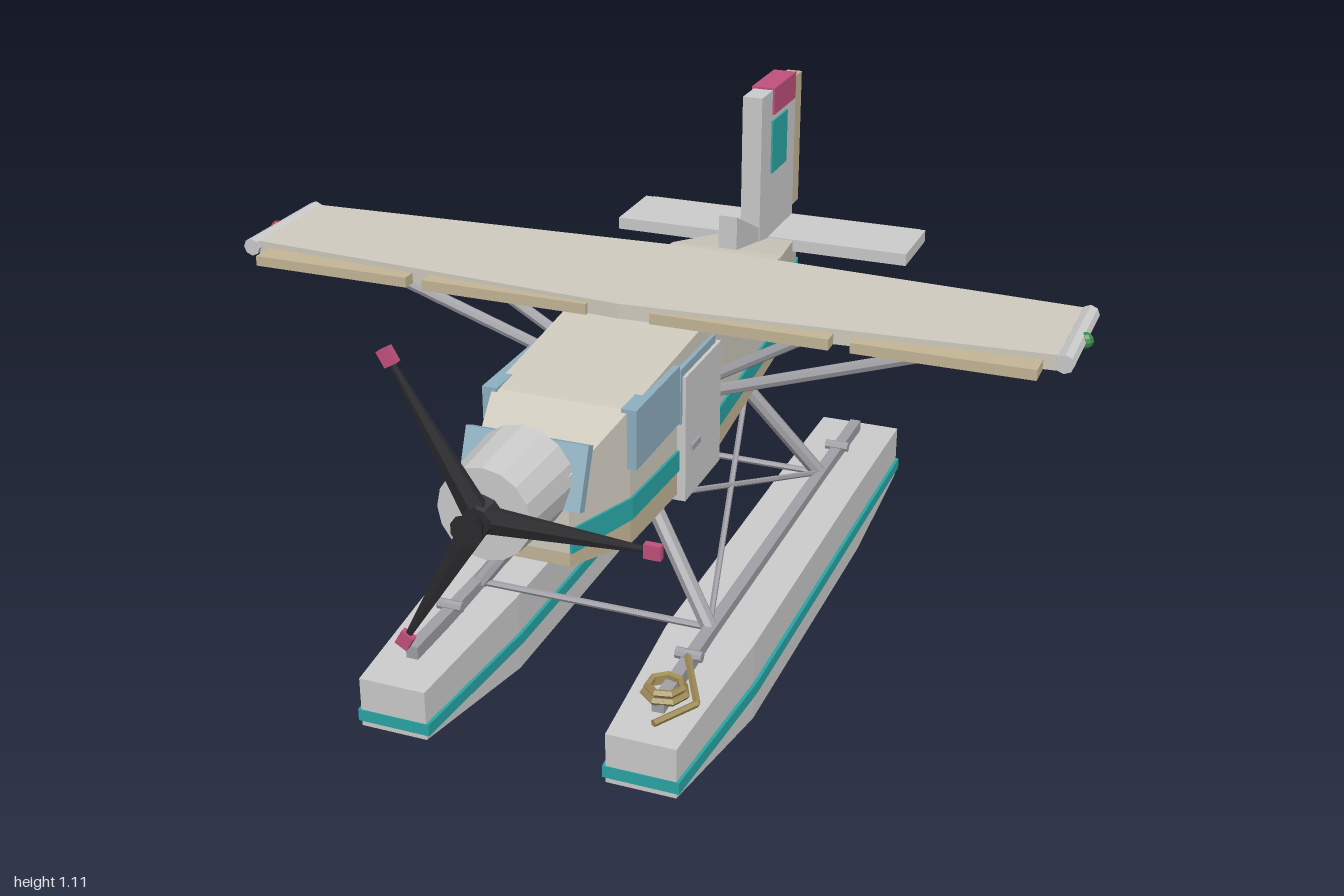
import * as THREE from 'three';

const mat = (color) => new THREE.MeshStandardMaterial({ color, flatShading: true });
const GREY = mat(0xcccccc), CREAM = mat(0xd0cbbf), TAN = mat(0xc4b596), TEAL = mat(0x2aa5a5),
  PINK = mat(0xc0507c), GLASS = mat(0x8fb0c0), DARK = mat(0x2a2a2e), METAL = mat(0xa0a0a6),
  ROPE = mat(0xa08c58), RED = mat(0xb83a3a), GREEN = mat(0x3a8a4a);

const V = (x, y, z) => new THREE.Vector3(x, y, z);

// Skin between rings of corners, closed at both ends
function loft(rings) {
  const n = rings[0].length, pos = [];
  const quad = (a, b, c, d) => [a, b, c, a, c, d].forEach((p) => pos.push(...p));
  for (let i = 0; i < rings.length - 1; i++) {
    for (let j = 0; j < n; j++) {
      const k = (j + 1) % n;
      quad(rings[i][j], rings[i + 1][j], rings[i + 1][k], rings[i][k]);
    }
  }
  quad(...rings[0]);
  quad(...rings[rings.length - 1].slice().reverse());
  const g = new THREE.BufferGeometry();
  g.setAttribute('position', new THREE.Float32BufferAttribute(pos, 3));
  g.computeVertexNormals();
  return g;
}

// Rectangular stations [z, half width, bottom, top], from front to back
const hull = (stations) => loft(stations.map(([z, w, y0, y1]) =>
  [[-w, y0, z], [w, y0, z], [w, y1, z], [-w, y1, z]]));

function add(parent, name, geometry, material, x = 0, y = 0, z = 0) {
  const m = new THREE.Mesh(geometry, material);
  m.name = name;
  m.position.set(x, y, z);
  parent.add(m);
  return m;
}

// Box given by its limits
const block = (parent, name, material, x0, x1, y0, y1, z0, z1) =>
  add(parent, name, new THREE.BoxGeometry(Math.abs(x1 - x0), y1 - y0, Math.abs(z1 - z0)), material,
    (x0 + x1) / 2, (y0 + y1) / 2, (z0 + z1) / 2);

// Straight rod between two points
function rod(parent, name, a, b, r, material = METAL, sides = 8) {
  const d = b.clone().sub(a);
  const m = add(parent, name, new THREE.CylinderGeometry(r, r, d.length(), sides), material);
  m.position.copy(a).add(b).multiplyScalar(0.5);
  m.quaternion.setFromUnitVectors(V(0, 1, 0), d.normalize());
  return m;
}

function buildFuselage(g) {
  // z, half width, bottom, stripe bottom, stripe top, top
  const S = [
    [0.76, 0.105, 0.51, 0.54, 0.595, 0.71], [0.56, 0.155, 0.47, 0.53, 0.58, 0.78],
    [0.08, 0.165, 0.46, 0.52, 0.567, 0.815], [-0.47, 0.145, 0.505, 0.545, 0.59, 0.76],
    [-0.82, 0.075, 0.585, 0.59, 0.63, 0.69]];
  add(g, 'lowerFuselage', hull(S.map(([z, w, a, b]) => [z, w, a, b])), TAN);
  add(g, 'upperFuselage', hull(S.map(([z, w, , b, , d]) => [z, w, b, d])), CREAM);
  add(g, 'fuselageStripe', hull(S.map(([z, w, , b, c]) => [z * 0.999, w + 0.006, b, c])), TEAL);

  const shield = block(g, 'windshield', GLASS, -0.135, 0.135, 0.635, 0.77, 0.725, 0.75);
  shield.rotation.x = -0.38;
  for (const s of [1, -1]) {
    block(g, 'sideWindow', GLASS, s * 0.14, s * 0.174, 0.65, 0.785, 0.32, 0.57);
    block(g, 'doorWindow', GLASS, s * 0.15, s * 0.172, 0.64, 0.77, 0.09, 0.31);
    block(g, 'door', GREY, s * 0.15, s * 0.18, 0.45, 0.75, 0.075, 0.3);
    block(g, 'doorHandle', METAL, s * 0.17, s * 0.187, 0.563, 0.577, 0.22, 0.27);
  }
}

function buildEngine(g) {
  const engine = new THREE.Group();
  engine.name = 'engine';
  engine.position.set(0, 0.69, 0);
  g.add(engine);
  const round = (name, rFront, rBack, z0, z1, material, sides) =>
    add(engine, name, new THREE.CylinderGeometry(rFront, rBack, z1 - z0, sides), material, 0, 0, (z0 + z1) / 2)
      .rotation.x = Math.PI / 2;
  round('cowling', 0.1, 0.11, 0.74, 0.925, GREY, 16);
  round('propellerHub', 0.03, 0.045, 0.92, 0.96, DARK, 10);
  round('spinner', 0.035, 0.015, 0.955, 1, DARK, 10);
  // Three tapered blades with coloured tips
  for (let i = 0; i < 3; i++) {
    const blade = new THREE.Group();
    blade.name = 'propellerBlade';
    blade.rotation.z = -Math.PI / 2 + (i * 2 * Math.PI) / 3;
    blade.position.z = 0.942;
    engine.add(blade);
    add(blade, 'blade', new THREE.CylinderGeometry(0.007, 0.032, 0.34, 6), DARK, 0, 0.18, 0).scale.z = 0.5;
    block(blade, 'bladeTip', PINK, -0.015, 0.015, 0.34, 0.375, -0.008, 0.008);
  }
}

function buildWing(g) {
  const ring = (x, back, front) =>
    [[x, 0.84, back], [x, 0.875, back], [x, 0.875, front], [x, 0.84, front]];
  add(g, 'wing', loft([ring(0.95, -0.105, 0.18), ring(0, -0.155, 0.245), ring(-0.95, -0.105, 0.18)]), CREAM);
  for (const s of [1, -1]) {
    block(g, 'innerFlap', TAN, s * 0.075, s * 0.48, 0.84, 0.865, 0.17, 0.25);
    block(g, 'outerFlap', TAN, s * 0.525, s * 0.92, 0.838, 0.862, 0.16, 0.243);
    rod(g, 'wingTip', V(s * 0.965, 0.86, -0.11), V(s * 0.965, 0.86, 0.19), 0.021, GREY);
    add(g, 'navigationLight', new THREE.SphereGeometry(0.018, 8, 6), s > 0 ? GREEN : RED, s * 0.982, 0.86, 0.045);
    rod(g, 'outerWingStrut', V(s * 0.84, 0.84, 0.05), V(s * 0.15, 0.61, 0.05), 0.015);
    rod(g, 'innerWingStrut', V(s * 0.48, 0.84, 0.05), V(s * 0.15, 0.645, 0.05), 0.014);
  }
}

function buildTail(g) {
  block(g, 'tailplane', GREY, -0.4, 0.4, 0.68, 0.712, -0.925, -0.725);
  block(g, 'elevator', TAN, -0.385, 0.385, 0.684, 0.706, -0.945, -0.92);
  block(g, 'fin', GREY, -0.026, 0.026, 0.71, 1.105, -0.93, -0.65);
  block(g, 'rudder', TAN, -0.02, 0.02, 0.73, 1.09, -1, -0.925);
  block(g, 'finCap', PINK, -0.031, 0.031, 1.04, 1.11, -0.915, -0.735);
  block(g, 'finPanel', TEAL, -0.031, 0.031, 0.885, 1.025, -0.85, -0.73);
  add(g, 'dorsalFin', hull([[-0.475, 0.024, 0.73, 0.845], [-0.66, 0.024, 0.69, 0.755]]), GREY);
}

function buildFloats(g) {
  for (const s of [1, -1]) {
    const f = new THREE.Group();
    f.name = s > 0 ? 'leftFloat' : 'rightFloat';
    f.position.x = s * 0.285;
    g.add(f);
    add(f, 'floatHull', hull([[0.83, 0.078, 0.06, 0.178], [0.42, 0.104, 0.005, 0.197],
      [-0.42, 0.104, 0.005, 0.197], [-0.78, 0.104, 0.05, 0.19]]), GREY);
    add(f, 'floatStripe', hull([[0.832, 0.085, 0.072, 0.1], [0.42, 0.112, 0.072, 0.1],
      [-0.782, 0.112, 0.072, 0.1]]), TEAL);
    block(f, 'floatStep', DARK, -0.1, 0.1, 0, 0.02, 0.03, 0.07);
    block(f, 'deckRail', METAL, -0.014, 0.014, 0.19, 0.22, -0.73, 0.735);
    block(f, 'waterRudder', DARK, -0.014, 0.014, 0, 0.1, -0.845, -0.775);
    for (const z of [0.55, -0.555]) {
      rod(f, 'cleat', V(-0.03, 0.222, z), V(0.03, 0.222, z), 0.013);
    }
    // Legs with crossed bracing
    for (const e of [1, -1]) {
      const foot = V(s * 0.28, 0.21, e * 0.41);
      rod(g, 'floatLeg', foot, V(s * 0.1, 0.465, e * 0.32), 0.019);
      rod(g, 'crossBrace', foot, V(s * 0.11, 0.46, e * -0.32), 0.007, METAL, 6);
    }
  }
  for (const z of [0.41, -0.41]) rod(g, 'spreaderBar', V(-0.28, 0.21, z), V(0.28, 0.21, z), 0.008, METAL, 6);

  // Mooring rope coiled on the left float
  for (const [r, y] of [[0.045, 0.215], [0.038, 0.23]]) {
    add(g, 'ropeCoil', new THREE.TorusGeometry(r, 0.009, 5, 7), ROPE, 0.285, y, 0.69).rotation.x = Math.PI / 2;
  }
  rod(g, 'ropeEnd', V(0.285, 0.225, 0.56), V(0.362, 0.215, 0.71), 0.008, ROPE, 5);
  rod(g, 'ropeEnd', V(0.362, 0.215, 0.71), V(0.305, 0.215, 0.81), 0.008, ROPE, 5);
}

export function createModel() {
  const g = new THREE.Group();
  g.name = 'floatplane';
  buildFuselage(g);
  buildEngine(g);
  buildWing(g);
  buildTail(g);
  buildFloats(g);
  return g;
}
